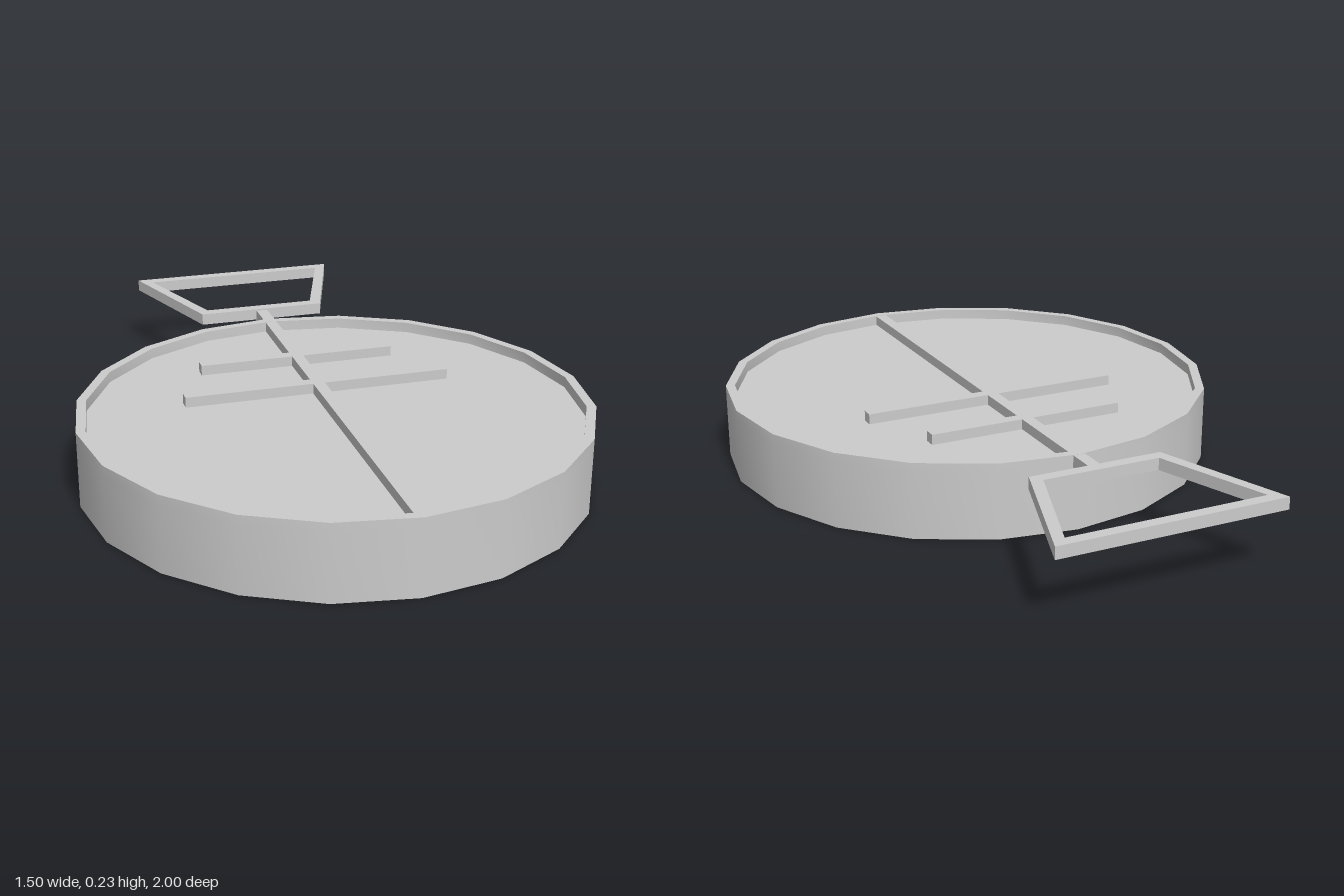
import * as THREE from 'three';
import { toCreasedNormals } from 'three/addons/utils/BufferGeometryUtils.js';

export function createModel() {
  const group = new THREE.Group();
  const material = new THREE.MeshStandardMaterial({ color: 0xcccccc });

  const add = (name, geometry, x = 0, y = 0, z = 0) => {
    const mesh = new THREE.Mesh(geometry, material);
    mesh.name = name;
    mesh.position.set(x, y, z);
    group.add(mesh);
  };

  const floorY = 0.195, topY = 0.227, barWidth = 0.036;

  // Round twenty-sided body with a raised rim around a sunken top
  const profile = [
    [0, 0], [0.748, 0], [0.748, 0.2], [0.748, topY],
    [0.72, topY], [0.72, floorY], [0, floorY],
  ].map(([r, y]) => new THREE.Vector2(r, y));
  const body = new THREE.LatheGeometry(profile, 20);
  add('body', toCreasedNormals(body, Math.PI / 6), 0, 0, 0.25);

  // Bars lying on the sunken top; the long one runs out to the handle
  const bar = (name, x0, x1, z0, z1) => {
    const bottom = 0.19, top = topY - 0.001;
    add(name, new THREE.BoxGeometry(x1 - x0, top - bottom, z1 - z0),
      (x0 + x1) / 2, (top + bottom) / 2, (z0 + z1) / 2);
  };
  const h = barWidth / 2;
  bar('longBar', -h, h, -0.6, 0.975);
  for (const [name, halfLength, z] of [['shortCrossBar', 0.305, -0.164], ['longCrossBar', 0.405, 0.069]]) {
    bar(name, -halfLength, halfLength, z - h, z + h);
  }

  // Open trapezoid handle at the back (shape y becomes -z)
  const trapezoid = (Type, near, nearHalf, far, farHalf) => new Type([
    new THREE.Vector2(-nearHalf, near), new THREE.Vector2(nearHalf, near),
    new THREE.Vector2(farHalf, far), new THREE.Vector2(-farHalf, far),
  ]);
  const outline = trapezoid(THREE.Shape, 0.588, 0.203, 1, 0.342);
  outline.holes.push(trapezoid(THREE.Path, 0.624, 0.178, 0.965, 0.297));
  const handle = new THREE.ExtrudeGeometry(outline, { depth: 0.036, bevelEnabled: false });
  handle.rotateX(-Math.PI / 2);
  add('handle', handle, 0, 0.195, 0);

  return group;
}
